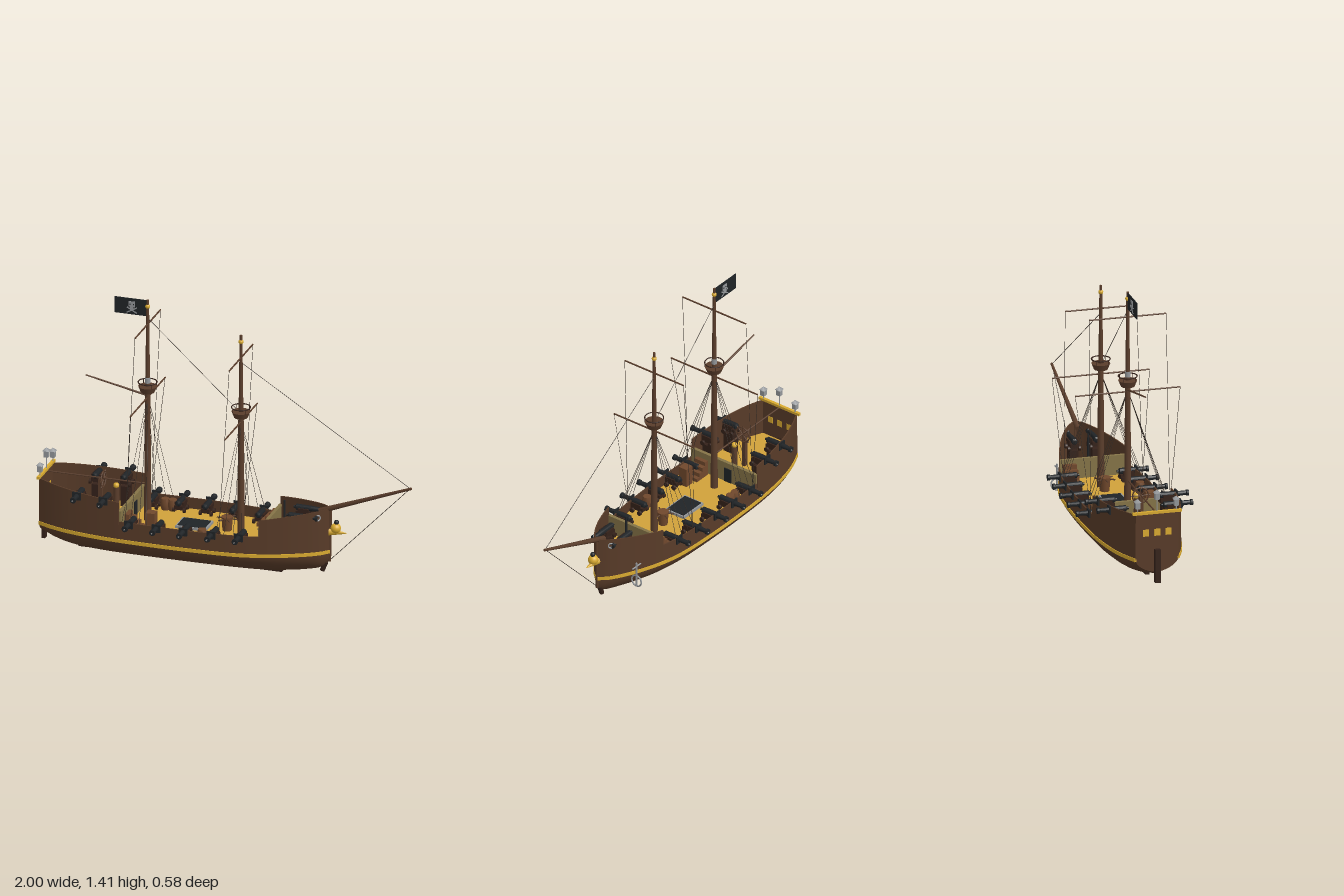
import * as THREE from 'three';
import { toCreasedNormals } from 'three/addons/utils/BufferGeometryUtils.js';

const material = (name, color, side = THREE.FrontSide) => {
  const m = new THREE.MeshStandardMaterial({ color, side });
  m.name = name;
  return m;
};
const V = (x, y, z) => new THREE.Vector3(x, y, z);

// Hull lines: half width and keel height along the length
const STATIONS = [-0.98, -0.9, -0.8, -0.65, -0.5, -0.3, -0.1, 0.1, 0.23, 0.35, 0.45, 0.52, 0.56];
const WIDTHS = [0.115, 0.15, 0.18, 0.205, 0.217, 0.222, 0.22, 0.208, 0.182, 0.14, 0.092, 0.047, 0.004];
const KEEL = [0.075, 0.042, 0.02, 0.011, 0.01, 0.01, 0.01, 0.01, 0.012, 0.022, 0.038, 0.058, 0.1];
function along(values, x) {
  let i = 0;
  while (i < STATIONS.length - 2 && x > STATIONS[i + 1]) i++;
  const slope = (k) => {
    const a = Math.max(k - 1, 0), b = Math.min(k + 1, values.length - 1);
    return (values[b] - values[a]) / (STATIONS[b] - STATIONS[a]);
  };
  const h = STATIONS[i + 1] - STATIONS[i];
  const t = THREE.MathUtils.clamp((x - STATIONS[i]) / h, 0, 1), u = 1 - t;
  return values[i] * u * u * (1 + 2 * t) + slope(i) * h * t * u * u
    + values[i + 1] * t * t * (3 - 2 * t) - slope(i + 1) * h * t * t * u;
}
const width = (x) => Math.max(along(WIDTHS, x), 0.003);
const WATER = 0.15;

// Skin through equal-length cross-sections; caps close the ends of ring sections
function loft(sections, closed = false) {
  const n = sections[0].length, pos = [], idx = [];
  sections.forEach((s) => s.forEach((p) => pos.push(p.x, p.y, p.z)));
  for (let i = 0; i < sections.length - 1; i++) {
    for (let j = 0; j < (closed ? n : n - 1); j++) {
      const k = (j + 1) % n, a = i * n + j, b = i * n + k;
      idx.push(a, b, a + n, b, b + n, a + n);
    }
  }
  if (closed) {
    for (let j = 1; j < n - 1; j++) {
      const e = (sections.length - 1) * n;
      idx.push(0, j + 1, j, e, e + j, e + j + 1);
    }
  }
  const g = new THREE.BufferGeometry();
  g.setAttribute('position', new THREE.Float32BufferAttribute(pos, 3));
  g.setIndex(idx);
  return toCreasedNormals(g, 0.6);
}
const range = (a, b, n) => Array.from({ length: n + 1 }, (_, i) => a + (b - a) * i / n);
const underwater = (x, n = 16) => range(-Math.PI / 2, Math.PI / 2, n).map((a) => {
  const k = along(KEEL, x);
  return V(x, k + (WATER - k) * (1 - Math.cos(a)) ** 0.85, width(x) * Math.sin(a));
});

export function createModel() {
  const ship = new THREE.Group();
  ship.name = 'sailingShip';
  const hull = material('hullBrown', 0x583b28, THREE.DoubleSide);
  const dark = material('darkWood', 0x35221a);
  const spar = material('sparBrown', 0x5a3d2b);
  const deck = material('deckYellow', 0xd0a23a, THREE.DoubleSide);
  const gold = material('gold', 0xdaab30, THREE.DoubleSide);
  const iron = material('gunBlack', 0x202427);
  const grey = material('metalGrey', 0x94979a);
  const barrelWood = material('barrelBrown', 0x70482c);
  const rope = material('ropeDark', 0x352d27);
  const olive = material('panelOlive', 0x857447);

  const add = (name, geo, mat, x = 0, y = 0, z = 0, parent = ship) => {
    const m = new THREE.Mesh(geo, mat);
    m.name = name;
    m.position.set(x, y, z);
    parent.add(m);
    return m;
  };
  const box = (name, w, h, d, mat, x, y, z, parent) => add(name, new THREE.BoxGeometry(w, h, d), mat, x, y, z, parent);
  const cyl = (name, rt, rb, h, mat, x, y, z, parent, sides = 16) =>
    add(name, new THREE.CylinderGeometry(rt, rb, h, sides), mat, x, y, z, parent);
  const rod = (name, a, b, r0, r1, mat, parent, sides = 8) => {
    const m = cyl(name, r1, r0, a.distanceTo(b), mat, 0, 0, 0, parent, sides);
    m.position.lerpVectors(a, b, 0.5);
    m.quaternion.setFromUnitVectors(V(0, 1, 0), b.clone().sub(a).normalize());
    return m;
  };

  // Hull bottom, topsides with bulwarks, and gold band
  add('hullBottom', loft(range(-0.98, 0.56, 48).map((x) => underwater(x))), hull);
  const topsides = [
    ['sternBulwark', -0.98, -0.515, (x) => 0.392 - (x + 0.98) * 0.08],
    ['waistBulwark', -0.515, 0.23, () => 0.25],
    ['bowBulwark', 0.23, 0.56, (x) => 0.34 + (x - 0.23) * 0.14],
  ];
  for (const s of [1, -1]) {
    for (const [name, a, b, top] of topsides) {
      add(name, loft(range(a, b, 20).map((x) => {
        const w = width(x), inner = Math.max(w - 0.007, 0.001), y = top(x);
        return [V(x, WATER, s * w), V(x, y, s * w * 0.98), V(x, y, s * inner * 0.98), V(x, WATER, s * inner)];
      }), true), hull);
    }
    add('hullBand', loft(range(-0.98, 0.56, 40).map((x) => {
      const w = width(x);
      return [V(x, 0.137, s * (w - 0.006)), V(x, 0.137, s * (w + 0.004)),
        V(x, 0.156, s * (w + 0.004)), V(x, 0.156, s * (w - 0.004))];
    }), true), gold);
  }

  // Transom, windows, stern rail and lanterns
  const sternLine = underwater(-0.98).map((p) => new THREE.Vector2(p.z, p.y));
  sternLine.push(new THREE.Vector2(0.113, 0.392), new THREE.Vector2(-0.113, 0.392));
  const transom = new THREE.ShapeGeometry(new THREE.Shape(sternLine));
  transom.rotateY(-Math.PI / 2);
  add('transom', transom, hull, -0.98);
  box('sternRail', 0.016, 0.014, 0.26, gold, -0.98, 0.398, 0);
  for (const k of [-1, 0, 1]) {
    box('sternWindow', 0.006, 0.036, 0.032, gold, -0.982, 0.29, k * 0.06);
    const y = k ? 0.443 : 0.485;
    cyl('lanternPost', 0.003, 0.003, y - 0.39, grey, -0.978, (y + 0.39) / 2, k * 0.103);
    box('lantern', 0.024, 0.035, 0.024, grey, -0.978, y, k * 0.103);
    cyl('lanternRoof', 0.002, 0.024, 0.016, grey, -0.978, y + 0.025, k * 0.103, ship, 4).rotation.y = Math.PI / 4;
  }

  // Keel, rudder and stem
  box('keel', 1.1, 0.02, 0.022, dark, -0.25, 0.01, 0);
  box('rudder', 0.02, 0.18, 0.03, dark, -0.99, 0.11, 0);
  rod('stem', V(0.515, 0.035, 0), V(0.535, 0.085, 0), 0.013, 0.013, dark);
  rod('stem', V(0.555, 0.09, 0), V(0.56, 0.38, 0), 0.008, 0.008, hull);

  // One flat deck, divided by two low panels with rails
  const DECK = 0.19, QUARTER = 0.3, FORE = 0.29;
  const xs = range(-0.98, 0.555, 48), edge = (x) => Math.max(width(x) - 0.004, 0.001);
  const outline = xs.map((x) => new THREE.Vector2(x, edge(x)));
  outline.push(...xs.reverse().map((x) => new THREE.Vector2(x, -edge(x))));
  const planks = new THREE.ShapeGeometry(new THREE.Shape(outline));
  planks.rotateX(-Math.PI / 2);
  add('deck', planks, deck, 0, DECK, 0);
  for (const [x, y] of [[-0.512, QUARTER], [0.232, FORE]]) {
    const w = 2 * width(x) - 0.012;
    box('dividingPanel', 0.01, y - DECK, w, olive, x, (y + DECK) / 2, 0);
    box('panelRail', 0.018, 0.01, w, olive, x, y + 0.002, 0);
  }
  box('cabinDoor', 0.006, 0.08, 0.045, iron, -0.505, 0.232, -0.03);

  // Cannons, built pointing to +z, the high ones on stands
  const cannon = (x, y, z, turn) => {
    const g = new THREE.Group();
    g.name = 'cannon';
    const profile = [[0, -0.09], [0.007, -0.088], [0.007, -0.08], [0.016, -0.074], [0.015, 0], [0.011, 0.065], [0.016, 0.068], [0.016, 0.08], [0.008, 0.081], [0, 0.07]];
    const tube = add('cannonBarrel', toCreasedNormals(new THREE.LatheGeometry(profile.map((p) => new THREE.Vector2(...p)), 14), 0.6), iron, 0, 0.053, 0, g);
    tube.rotation.x = Math.PI / 2;
    box('carriage', 0.044, 0.022, 0.075, dark, 0, 0.028, -0.035, g);
    for (const sx of [-1, 1]) {
      box('carriageCheek', 0.008, 0.018, 0.06, dark, sx * 0.021, 0.045, -0.03, g);
      for (const wz of [-0.06, -0.012]) {
        cyl('carriageWheel', 0.013, 0.013, 0.012, dark, sx * 0.029, 0.013, wz, g, 12).rotation.z = Math.PI / 2;
      }
    }
    if (y > DECK) box('gunStand', 0.044, y - DECK, 0.06, dark, 0, (DECK - y) / 2, -0.035, g);
    g.position.set(x, y, z);
    g.rotation.y = turn;
    ship.add(g);
  };
  for (const s of [1, -1]) {
    for (const [x, y] of [[-0.75, QUARTER], [-0.6, QUARTER], [-0.46, DECK], [-0.31, DECK], [-0.165, DECK], [-0.015, DECK], [0.13, DECK]]) {
      cannon(x, y, s * (width(x) - 0.015), s > 0 ? 0 : Math.PI);
      box('gunPort', 0.046, 0.042, 0.008, iron, x, y + 0.053, s * width(x));
    }
    cannon(0.43, FORE, s * 0.059, Math.PI / 2);
    add('bowPort', new THREE.TorusGeometry(0.014, 0.004, 8, 18), grey, 0.51, FORE + 0.053, s * 0.056).rotation.y = s > 0 ? 0.9 : Math.PI - 0.9;
  }

  // Masts with tops, yards, shrouds and braces
  const mast = (x, top, nest, upperY, upperZ, lowerY, lowerZ) => {
    const g = new THREE.Group();
    g.name = 'mast';
    ship.add(g);
    cyl('lowerMast', 0.014, 0.019, nest - DECK, spar, x, (nest + DECK) / 2, 0, g);
    cyl('upperMast', 0.007, 0.013, top - nest, spar, x, (top + nest) / 2, 0, g);
    add('mastBall', new THREE.SphereGeometry(0.013, 14, 10), gold, x, top - 0.036, 0, g);
    cyl('crowsNest', 0.049, 0.036, 0.032, spar, x, nest + 0.016, 0, g, 20);
    add('nestRail', new THREE.TorusGeometry(0.049, 0.003, 6, 24), dark, x, nest + 0.055, 0, g).rotation.x = Math.PI / 2;
    for (const a of range(Math.PI / 4, Math.PI * 1.75, 3)) {
      const c = Math.cos(a) * 0.048, d = Math.sin(a) * 0.048;
      rod('nestPost', V(x + c, nest + 0.03, d), V(x + c, nest + 0.055, d), 0.0015, 0.0015, dark, g, 5);
    }
    for (const s of [1, -1]) {
      for (const [y, z] of [[upperY, upperZ], [lowerY, lowerZ]]) {
        rod('yard', V(x, y, 0), V(x, y, s * z), 0.0045, 0.004, spar, g);
        rod('brace', V(x, y, s * z), V(x - 0.05, 0.25, s * 0.21), 0.0012, 0.0012, rope, g, 4);
      }
      for (const dx of [-0.07, -0.025, 0.025, 0.065]) {
        rod('shroud', V(x, nest - 0.02, 0), V(x + dx, 0.25, s * (width(x + dx) - 0.01)), 0.0012, 0.0012, rope, g, 4);
      }
    }
  };
  mast(-0.43, 1.41, 0.9, 1.275, 0.205, 0.87, 0.28);
  mast(0.075, 1.28, 0.826, 1.155, 0.19, 0.8, 0.26);
  cyl('mastCollar', 0.015, 0.015, 0.03, grey, -0.43, 0.965, 0);
  rod('gaff', V(-0.43, 0.88, 0), V(-0.765, 0.95, 0), 0.006, 0.004, spar);
  rod('boom', V(-0.43, 0.39, 0), V(-0.97, 0.39, 0), 0.0045, 0.004, spar);
  rod('bowsprit', V(0.5, 0.362, 0), V(0.998, 0.55, 0), 0.015, 0.007, spar);
  rod('foreStay', V(0.075, 1.13, 0), V(0.99, 0.55, 0), 0.0015, 0.0015, rope);
  rod('mainStay', V(-0.43, 1.31, 0), V(0.05, 0.87, 0), 0.0015, 0.0015, rope);
  rod('bobStay', V(0.99, 0.548, 0), V(0.56, 0.1, 0), 0.0015, 0.0015, rope);

  // Flag with a simple skull and crossed bones on both sides
  box('flag', 0.175, 0.088, 0.004, iron, -0.522, 1.363, 0);
  for (const s of [1, -1]) {
    box('skull', 0.036, 0.03, 0.003, grey, -0.515, 1.376, s * 0.003);
    box('jaw', 0.02, 0.016, 0.003, grey, -0.515, 1.354, s * 0.003);
    for (const e of [-1, 1]) {
      box('eye', 0.006, 0.006, 0.002, iron, -0.515 + e * 0.009, 1.375, s * 0.0045);
      box('bone', 0.062, 0.006, 0.002, grey, -0.515, 1.343, s * 0.003).rotation.z = e * 0.5;
    }
  }

  // Figurehead
  add('figureheadBody', new THREE.SphereGeometry(0.027, 18, 12), gold, 0.588, 0.277, 0);
  rod('figureheadTail', V(0.555, 0.255, 0), V(0.645, 0.255, 0), 0.022, 0.002, gold);
  add('figureheadCap', new THREE.SphereGeometry(0.013, 12, 8), iron, 0.592, 0.31, 0);

  // Anchor on the far bow
  add('anchorRing', new THREE.TorusGeometry(0.031, 0.0045, 8, 24), grey, 0.405, 0.107, -0.14).rotation.y = Math.PI / 2;
  rod('anchorShank', V(0.405, 0.08, -0.14), V(0.405, 0.215, -0.14), 0.005, 0.005, grey);
  rod('anchorStock', V(0.37, 0.195, -0.14), V(0.44, 0.195, -0.14), 0.004, 0.004, grey);

  // Steering wheel, binnacle and bow post
  add('steeringWheel', new THREE.TorusGeometry(0.042, 0.004, 8, 24), spar, -0.67, 0.385, 0).rotation.y = Math.PI / 2;
  for (const a of range(0, Math.PI * 0.75, 3)) {
    const d = V(0, Math.cos(a), Math.sin(a)).multiplyScalar(0.052), c = V(-0.67, 0.385, 0);
    rod('wheelSpoke', c.clone().sub(d), c.clone().add(d), 0.003, 0.003, spar);
  }
  box('wheelStand', 0.02, 0.195, 0.02, spar, -0.685, 0.287, 0);
  cyl('binnacle', 0.014, 0.018, 0.16, spar, -0.6, 0.27, 0);
  add('binnacleTop', new THREE.SphereGeometry(0.016, 12, 8), gold, -0.6, 0.358, 0);
  cyl('bowPost', 0.005, 0.007, 0.205, iron, 0.31, 0.293, 0);

  // Hatch, capstan, barrels, crate and steps
  box('hatchFrame', 0.165, 0.014, 0.122, grey, -0.178, DECK + 0.007, 0);
  box('hatchGrate', 0.148, 0.006, 0.105, iron, -0.178, DECK + 0.014, 0);
  cyl('capstan', 0.03, 0.024, 0.075, barrelWood, 0, DECK + 0.0375, 0);
  for (const a of range(0, Math.PI * 2 / 3, 2)) {
    const d = V(Math.cos(a), 0, Math.sin(a)).multiplyScalar(0.055), c = V(0, 0.255, 0);
    rod('capstanBar', c.clone().sub(d), c.clone().add(d), 0.004, 0.004, spar);
  }
  const cask = [[0, 0], [0.021, 0], [0.027, 0.03], [0.021, 0.06], [0, 0.06]].map((p) => new THREE.Vector2(...p));
  for (const [x, z] of [[-0.39, -0.165], [-0.35, -0.165], [-0.08, 0.165]]) {
    add('barrel', toCreasedNormals(new THREE.LatheGeometry(cask, 14), 0.6), barrelWood, x, DECK, z);
  }
  box('crate', 0.05, 0.105, 0.05, barrelWood, -0.365, DECK + 0.0525, 0.135);
  for (const [x, dir, z] of [[-0.5, 1, 0.13], [0.22, -1, -0.127]]) {
    for (let i = 0; i < 4; i++) {
      const h = 0.085 - i * 0.022;
      box('step', 0.023, h, 0.07, barrelWood, x + dir * (0.012 + i * 0.023), DECK + h / 2, z);
    }
  }
  return ship;
}
